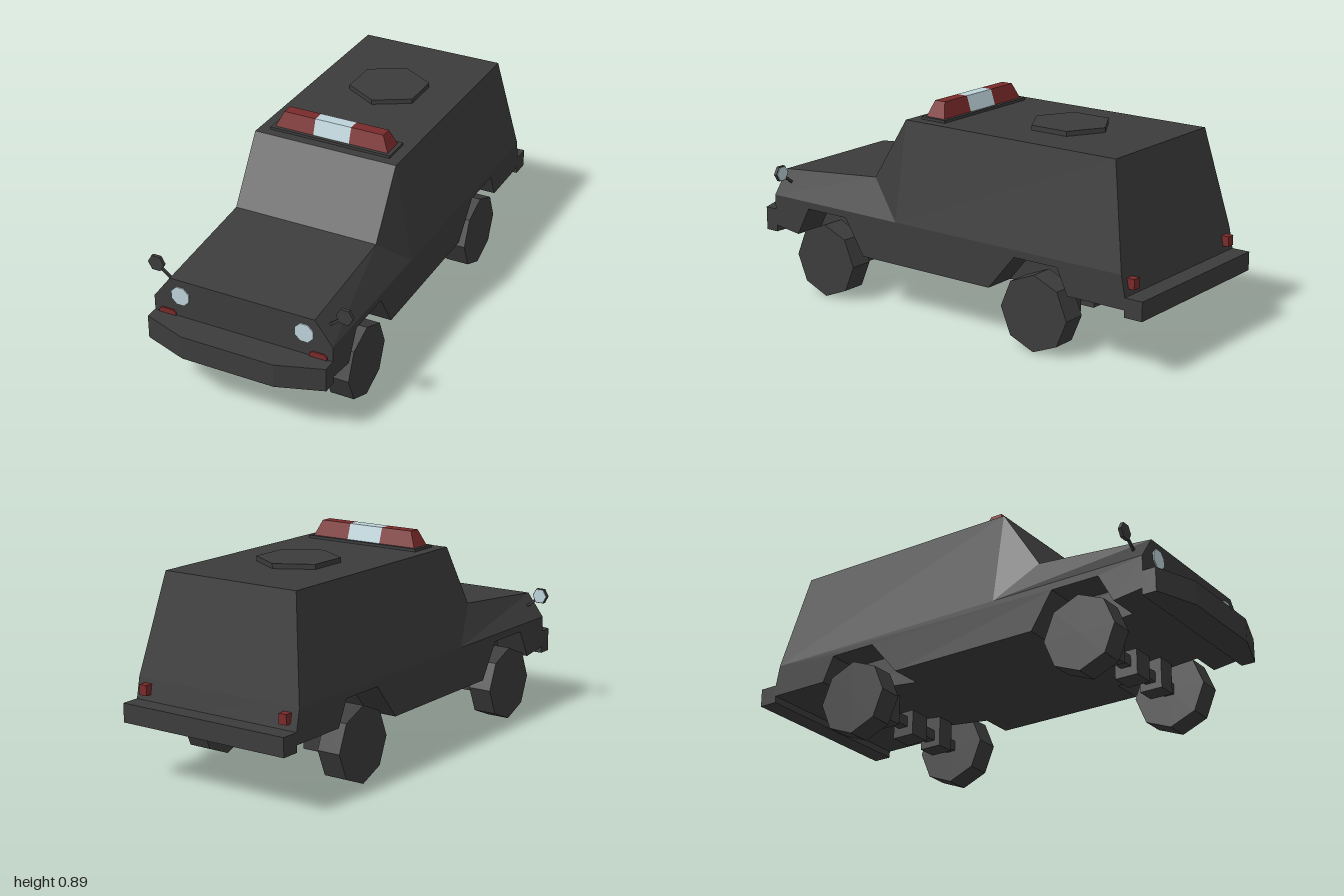
import * as THREE from 'three';

const mat = (name, color) => {
  const m = new THREE.MeshStandardMaterial({ color, flatShading: true });
  m.name = name;
  return m;
};

export function createModel() {
  const group = new THREE.Group();
  const paint = mat('darkGrey', 0x3c3c3c);
  const red = mat('red', 0x7a2a2a);
  const glass = mat('paleBlue', 0xbdd3da);

  const add = (name, geometry, material, x = 0, y = 0, z = 0) => {
    const mesh = new THREE.Mesh(geometry, material);
    mesh.name = name;
    mesh.position.set(x, y, z);
    group.add(mesh);
    return mesh;
  };
  const box = (name, material, w, h, d, x, y, z) =>
    add(name, new THREE.BoxGeometry(w, h, d), material, x, y, z);

  // Extrudes a [z, y] side profile across x from x0 to x1
  const slab = (name, profile, x0, x1) => {
    const shape = new THREE.Shape(profile.map(([z, y]) => new THREE.Vector2(-z, y)));
    const g = new THREE.ExtrudeGeometry(shape, { depth: x1 - x0, bevelEnabled: false });
    g.rotateY(Math.PI / 2).translate(x0, 0, 0);
    return add(name, g, paint);
  };

  // Builds flat faces from corner lists, counter-clockwise from outside
  const faces = (list) => {
    const pos = [];
    for (const f of list)
      for (let i = 1; i < f.length - 1; i++) pos.push(...f[0], ...f[i], ...f[i + 1]);
    const g = new THREE.BufferGeometry();
    g.setAttribute('position', new THREE.Float32BufferAttribute(pos, 3));
    g.computeVertexNormals();
    return g;
  };

  // Upper body: sloped sides rise from the belt line to hood, windscreen and roof
  const top = [[0.88, 0.5], [0.37, 0.547], [0.2, 0.815], [-0.82, 0.815]];
  const belt = [0.88, 0.2, -0.905];
  const T = (i, s) => [0.315 * s, top[i][1], top[i][0]];
  const B = (i, s) => [0.39 * s, 0.4, belt[i]];
  const upper = [];
  for (let i = 0; i < 3; i++) upper.push([T(i, -1), T(i, 1), T(i + 1, 1), T(i + 1, -1)]);
  upper.push([B(0, -1), B(0, 1), T(0, 1), T(0, -1)], [B(2, 1), B(2, -1), T(3, -1), T(3, 1)]);
  for (const s of [1, -1]) {
    const sides = [
      [B(0, s), B(1, s), T(1, s), T(0, s)],
      [B(1, s), T(2, s), T(1, s)],
      [B(1, s), B(2, s), T(3, s), T(2, s)],
    ];
    upper.push(...sides.map((f) => (s > 0 ? f : f.reverse())));
  }
  add('upperBody', faces(upper), paint);

  // Lower body: plain centre and side slabs with cut wheel arches
  const rear = [[-0.932, 0.265], [-0.905, 0.4]];
  slab('floorBody', [[0.88, 0.4], [0.88, 0.265], [0.75, 0.248], [0.38, 0.22], [-0.28, 0.22],
    [-0.66, 0.265], ...rear], -0.25, 0.25);
  for (const s of [1, -1]) {
    const x = s > 0 ? 0.25 : -0.39;
    slab('archedSide', [[0.88, 0.4], [0.88, 0.265], [0.75, 0.248], [0.685, 0.37], [0.475, 0.37],
      [0.38, 0.22], [-0.28, 0.22], [-0.405, 0.37], [-0.61, 0.37], [-0.66, 0.265], ...rear], x, x + 0.14);
  }

  // Bumpers
  const plan = [[-0.39, 0.875], [0.39, 0.875], [0.39, 0.935], [0.2, 1], [-0.2, 1], [-0.39, 0.935]];
  const bumper = new THREE.ExtrudeGeometry(
    new THREE.Shape(plan.map(([x, z]) => new THREE.Vector2(x, -z))), { depth: 0.1, bevelEnabled: false });
  add('frontBumper', bumper.rotateX(-Math.PI / 2), paint, 0, 0.236, 0);
  box('rearBumper', paint, 0.78, 0.078, 0.08, 0, 0.275, -0.96);

  // Wheels and axles
  for (const z of [0.595, -0.5]) {
    for (const s of [1, -1]) {
      const wheel = new THREE.CylinderGeometry(0.158, 0.158, 0.102, 8).rotateZ(Math.PI / 2);
      add('wheel', wheel, paint, s * 0.339, 0.159, z);
      box('springBlock', paint, 0.084, 0.14, 0.1, s * 0.182, 0.181, z);
    }
    box('axle', paint, 0.6, 0.045, 0.045, 0, 0.161, z);
    box('differential', paint, 0.098, 0.108, 0.1, 0, 0.154, z);
  }

  // Lamps and mirrors
  for (const s of [1, -1]) {
    const lamp = new THREE.CylinderGeometry(0.042, 0.042, 0.008, 8).rotateX(Math.PI / 2);
    lamp.rotateZ(Math.PI / 8);
    add('headlight', lamp, glass, s * 0.27, 0.431, 0.881);

    const signal = new THREE.Shape([[-0.037, -0.012], [0.037, -0.012], [0.037, 0.002], [0.025, 0.012],
      [-0.025, 0.012], [-0.037, 0.002]].map(([x, y]) => new THREE.Vector2(x, y)));
    add('frontSignal', new THREE.ExtrudeGeometry(signal, { depth: 0.007, bevelEnabled: false }),
      red, s * 0.33, 0.347, 0.879);
    box('tailLight', red, 0.036, 0.042, 0.04, s * 0.34, 0.36, -0.922);

    const head = new THREE.CylinderGeometry(0.036, 0.036, 0.014, 6).rotateX(Math.PI / 2);
    head.rotateZ(Math.PI / 6);
    add('mirror', head, paint, s * 0.411, 0.509, 0.82);
    // Reflecting face looks backwards
    const face = new THREE.CylinderGeometry(0.032, 0.032, 0.004, 6).rotateX(Math.PI / 2);
    face.rotateZ(Math.PI / 6);
    add('mirrorGlass', face, glass, s * 0.411, 0.509, 0.812);
    const arm = box('mirrorArm', paint, 0.09, 0.01, 0.01, s * 0.364, 0.47, 0.82);
    arm.rotation.z = s * 0.68;
  }

  // Roof hatch
  add('roofHatch', new THREE.CylinderGeometry(0.168, 0.168, 0.022, 6), paint, 0, 0.824, -0.39);

  // Light bar: tapered red ends around a pale middle
  box('lightBarBase', paint, 0.535, 0.012, 0.122, 0, 0.82, 0.098);
  const barSegment = (name, material, lo0, lo1, hi0, hi1) => {
    const [y0, y1, d0, d1] = [0.826, 0.89, 0.046, 0.025];
    const a = [[lo0, y0, d0], [lo1, y0, d0], [lo1, y0, -d0], [lo0, y0, -d0]];
    const b = [[hi0, y1, d1], [hi1, y1, d1], [hi1, y1, -d1], [hi0, y1, -d1]];
    const list = [b, [...a].reverse()];
    for (let i = 0; i < 4; i++) list.push([a[i], a[(i + 1) % 4], b[(i + 1) % 4], b[i]]);
    add(name, faces(list), material, 0, 0, 0.098);
  };
  barSegment('redLight', red, -0.252, -0.08, -0.222, -0.08);
  barSegment('paleLight', glass, -0.08, 0.08, -0.08, 0.08);
  barSegment('redLight', red, 0.08, 0.252, 0.08, 0.222);

  return group;
}
